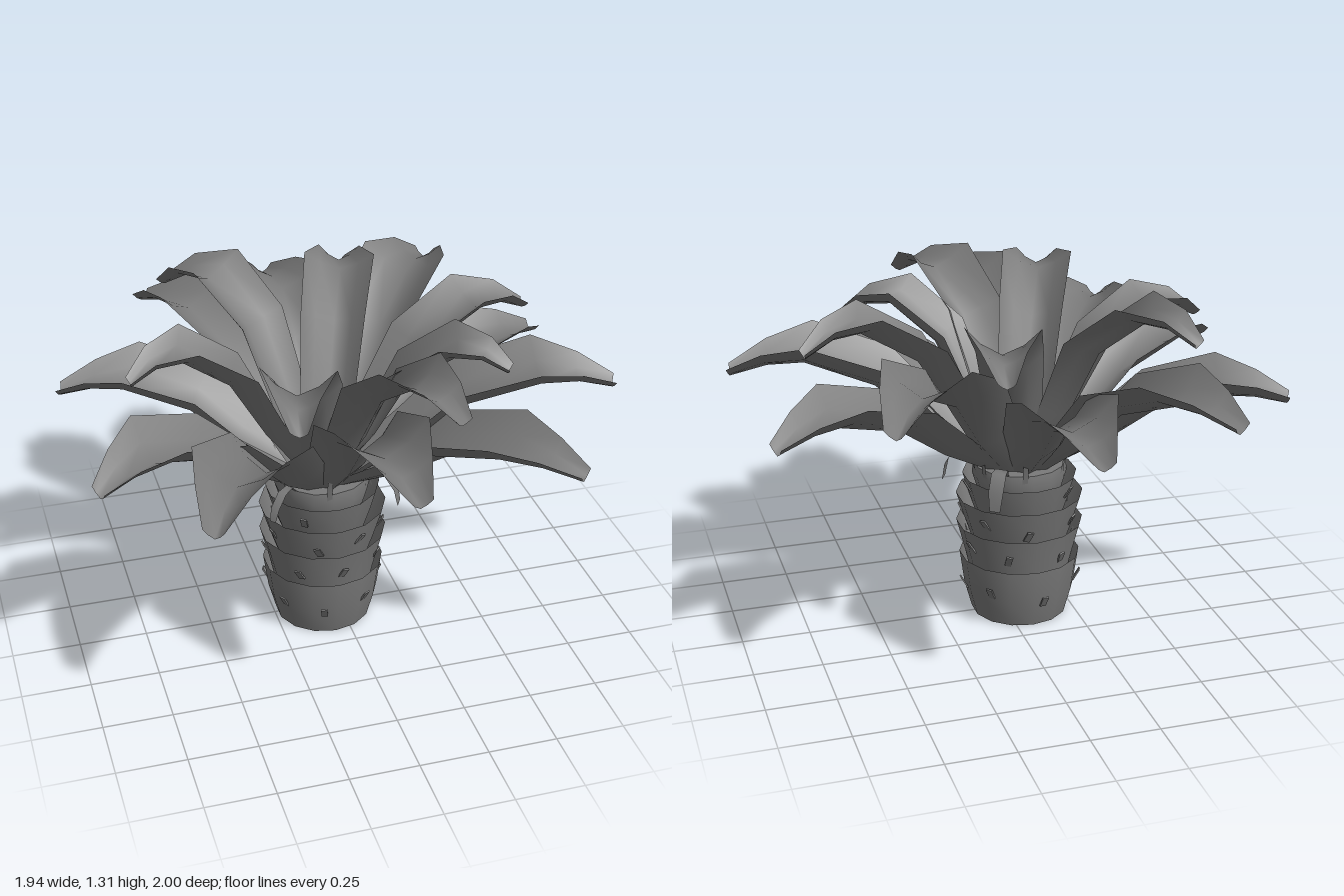
import * as THREE from 'three';
import { toCreasedNormals } from 'three/addons/utils/BufferGeometryUtils.js';

const material = new THREE.MeshStandardMaterial({ color: 0x7a7a7a, side: THREE.DoubleSide });
const CX = -0.06; // trunk axis

// Tip of every frond: x, keel height, z
const OUTER = [
  [-0.03, 0.96, -0.99], [0.58, 1.05, -0.77], [0.89, 0.87, -0.36], [0.95, 0.94, 0.27], [0.65, 0.86, 0.73],
  [-0.02, 1.03, 0.99], [-0.64, 0.93, 0.83], [-0.93, 0.87, 0.4], [-0.95, 0.86, -0.37], [-0.55, 0.97, -0.85],
];
const INNER = [
  [-0.51, 1.17, -0.55], [0.18, 1.13, -0.64], [0.74, 1.11, -0.11], [0.51, 1.1, 0.35],
  [0.21, 1.14, 0.72], [-0.31, 1.13, 0.63], [-0.75, 1.08, 0.05],
];

// Rows along a frond: radius fraction, height fraction, half width, channel depth, sideways bend
const ROWS = [
  [0, 0, 0.085, 0.05, 0], [0.25, 0.42, 0.125, 0.09, 0.01], [0.45, 0.86, 0.148, 0.115, 0.02],
  [0.72, 1.1, 0.162, 0.11, 0.028], [0.86, 1.09, 0.096, 0.07, 0.016], [1, 1, 0.038, 0.035, 0],
];

// Grid of points (rows x cols) joined into a smooth sheet
function sheet(rows) {
  const n = rows[0].length, index = [];
  for (let i = 0; i < rows.length - 1; i++)
    for (let j = 0; j < n - 1; j++) {
      const a = i * n + j, b = a + n;
      index.push(a, a + 1, b, a + 1, b + 1, b);
    }
  const g = new THREE.BufferGeometry().setFromPoints(rows.flat());
  g.setIndex(index);
  g.computeVertexNormals();
  return g;
}

// Channel-shaped frond that rises from the crown and arches outward along +x
function frondGeometry(r0, length, tipY, scale) {
  const y0 = 0.57;
  const keel = ROWS.map(([r, h]) => new THREE.Vector2(r0 + (length - r0) * r, y0 + (tipY - y0) * h));
  return sheet(ROWS.map(([, , w, d, bend], i) => {
    const t = keel[Math.min(i + 1, ROWS.length - 1)].clone().sub(keel[Math.max(i - 1, 0)]).normalize();
    return [-1, -0.55, 0, 0.55, 1].map((s) => {
      const lift = d * scale * Math.pow(Math.abs(s), 1.6);
      return new THREE.Vector3(keel[i].x - t.y * lift, keel[i].y + t.x * lift, s * w * scale + bend);
    });
  }));
}

// Narrow strip following a list of [radius, height, half width]
const stripGeometry = (pts) =>
  sheet(pts.map(([r, y, w]) => [-w, w].map((z) => new THREE.Vector3(r, y, z))));

export function createModel() {
  const group = new THREE.Group();
  const add = (geometry, name, angle = 0, parent = group) => {
    const mesh = new THREE.Mesh(geometry, material);
    mesh.name = name;
    mesh.rotation.y = angle;
    mesh.position.x = parent === group ? CX : 0;
    parent.add(mesh);
  };

  // Trunk: open flaring rings, each one rising out of the ring below
  [
    [[0.18, 0], [0.207, 0.1], [0.225, 0.235]],
    [[0.185, 0.15], [0.203, 0.235], [0.236, 0.365]],
    [[0.175, 0.28], [0.203, 0.365], [0.236, 0.475]],
    [[0.165, 0.4], [0.19, 0.475], [0.212, 0.555]],
    [[0.16, 0.5], [0.176, 0.555], [0.172, 0.6], [0, 0.6]],
  ].forEach((profile) => {
    const points = profile.map(([r, y]) => new THREE.Vector2(r, y));
    add(toCreasedNormals(new THREE.LatheGeometry(points, 14), 0.7), 'trunkRing');
  });

  // Bark spikes: small flat scales leaning out of each ring
  const bark = new THREE.Group();
  bark.name = 'barkSpikes';
  bark.position.x = CX;
  group.add(bark);
  [[0.125, 0.212, 7], [0.285, 0.215, 7], [0.395, 0.212, 7], [0.51, 0.203, 3]].forEach(([y, r, n], k) => {
    for (let i = 0; i < n; i++) {
      const geometry = new THREE.BoxGeometry(0.006, 0.05, 0.024);
      geometry.rotateX(0.3 * Math.sin(i * 3.1 + k));
      geometry.rotateZ(-0.5);
      geometry.translate(r + 0.004, y + 0.016 * Math.sin(i * 2.3 + k), 0);
      add(geometry, 'barkSpike', ((i + 0.37 * k + 0.15 * Math.sin(i * 5)) / n) * Math.PI * 2, bark);
    }
  });

  // Fronds in two tiers
  const addFronds = (tips, name, r0, scale) => tips.forEach(([x, y, z]) => {
    add(frondGeometry(r0, Math.hypot(x - CX, z), y, scale), name, Math.atan2(-z, x - CX));
  });
  addFronds(OUTER, 'outerFrond', 0.1, 1);
  addFronds(INNER, 'innerFrond', 0.045, 0.8);

  // Curled strips hanging over the crown rim: angle, reach, drop, width scale
  [[-0.5, 0.13, 0.1, 1], [0.94, 0.11, 0.1, 0.8], [-2.45, 0.15, 0.06, 0.5]].forEach(([angle, reach, drop, w]) => {
    const curl = [[0, 0.59, 0.02], [0.3, 0.635, 0.03], [0.6, 0.63, 0.035]].map(([t, y, h]) => [0.16 + reach * t, y, h * w]);
    curl.push([0.16 + reach * 0.9, 0.61 - drop * 0.4, 0.035 * w], [0.16 + reach, 0.6 - drop, 0.025 * w]);
    add(stripGeometry(curl), 'curledStrip', angle);
  });

  // Upright shoots around the rim
  [0, 0.45, 1.4, 2.4, 3.6, 4.6].forEach((angle, i) => {
    add(stripGeometry([[0.17, 0.57, 0.01], [0.18, 0.63, 0.01], [0.2, 0.66 + 0.015 * (i % 3), 0.006]]), 'rimShoot', angle);
  });

  return group;
}
